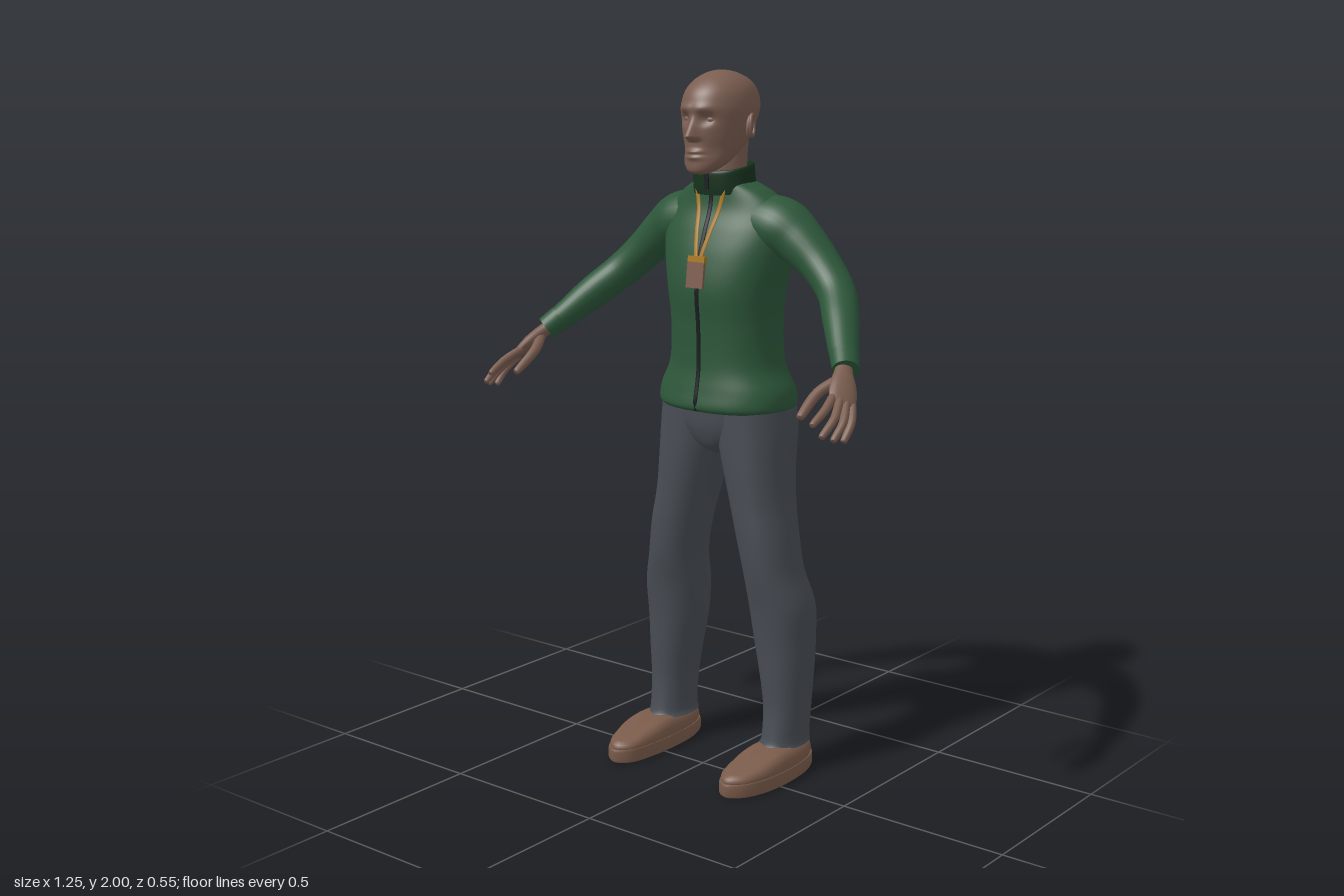
import * as THREE from 'three';

const mat = (name, color, side = THREE.FrontSide) => {
  const m = new THREE.MeshStandardMaterial({ color, side });
  m.name = name;
  return m;
};

// Catmull-Rom sample of every column of a table of rows, t in 0..1
function sample(rows, t) {
  const n = rows.length - 1, i = Math.min(Math.floor(t * n), n - 1), f = t * n - i;
  const p = k => rows[Math.max(0, Math.min(n, k))];
  return rows[0].map((_, c) => {
    const [a, b, d, e] = [p(i - 1)[c], p(i)[c], p(i + 1)[c], p(i + 2)[c]];
    return b + 0.5 * f * (d - a + f * (2 * a - 5 * b + 4 * d - e + f * (3 * (b - d) + e - a)));
  });
}

// Skin a list of closed rings, with optional flat end caps
function skin(rings, caps = true) {
  const n = rings[0].length, pos = rings.flat().flatMap(v => [v.x, v.y, v.z]), idx = [];
  for (let i = 0; i < rings.length - 1; i++) for (let j = 0; j < n; j++) {
    const a = i * n + j, b = i * n + (j + 1) % n;
    idx.push(a, a + n, b, b, a + n, b + n);
  }
  if (caps) [rings[0], rings[rings.length - 1]].forEach((ring, end) => {
    const base = pos.length / 3, c = new THREE.Vector3();
    ring.forEach(v => { pos.push(v.x, v.y, v.z); c.addScaledVector(v, 1 / n); });
    pos.push(c.x, c.y, c.z);
    for (let j = 0; j < n; j++) {
      const a = base + j, b = base + (j + 1) % n;
      idx.push(base + n, end ? b : a, end ? a : b);
    }
  });
  const g = new THREE.BufferGeometry();
  g.setAttribute('position', new THREE.Float32BufferAttribute(pos, 3));
  g.setIndex(idx);
  g.computeVertexNormals();
  return g;
}

const power = (v, e) => Math.sign(v) * Math.abs(v) ** e;

// Upright body from rows of [y, xMin, xMax, zFront, zBack]
function upright(rows, { n = 2.2, seg = 40, steps = 40, warp = null, caps = true } = {}) {
  const rings = [];
  for (let i = 0; i <= steps; i++) {
    const [y, x0, x1, zf, zb] = sample(rows, i / steps), ring = [];
    for (let j = 0; j < seg; j++) {
      const a = j / seg * Math.PI * 2;
      const v = new THREE.Vector3((x0 + x1) / 2 + (x1 - x0) / 2 * power(Math.cos(a), 2 / n), y,
        (zf + zb) / 2 + (zf - zb) / 2 * power(Math.sin(a), 2 / n));
      if (warp) warp(v);
      ring.push(v);
    }
    rings.push(ring);
  }
  return skin(rings, caps);
}

// Limb along rows of [x, y, z, radius across, radius through]
function limb(rows, { across = [0, 0, 1], seg = 20, steps = 24 } = {}) {
  const rings = [], at = t => new THREE.Vector3(...sample(rows, t).slice(0, 3));
  for (let i = 0; i <= steps; i++) {
    const t = i / steps, c = at(t), [, , , ru, rv] = sample(rows, t), ring = [];
    const T = at(Math.min(1, t + 0.01)).sub(at(Math.max(0, t - 0.01))).normalize();
    const u = new THREE.Vector3(...across);
    u.addScaledVector(T, -u.dot(T)).normalize();
    const v = u.clone().cross(T);
    for (let j = 0; j < seg; j++) {
      const a = j / seg * Math.PI * 2;
      ring.push(c.clone().addScaledVector(u, ru * Math.cos(a)).addScaledVector(v, rv * Math.sin(a)));
    }
    rings.push(ring);
  }
  return skin(rings);
}

function mirrored(geo) {
  const g = geo.clone().scale(-1, 1, 1), k = g.index.array;
  for (let i = 0; i < k.length; i += 3) [k[i], k[i + 1]] = [k[i + 1], k[i]];
  return g;
}

const sym = rows => rows.map(([y, w, f, b]) => [y, -w, w, f, b]);
const bump = (d, s) => Math.exp(-d * d / (s * s));

export function createModel() {
  const model = new THREE.Group();
  model.name = 'standingMan';
  const skinMat = mat('skin brown', 0x7a5d50), green = mat('jacket green', 0x2d573a);
  const darkGreen = mat('collar green', 0x18331f, THREE.DoubleSide), grey = mat('trouser grey', 0x484d54);
  const shoeMat = mat('shoe brown', 0x7a5b4a), black = mat('zip black', 0x191e20);
  const gold = mat('strap gold', 0xa8761a), badgeMat = mat('badge brown', 0x7c5c4c);
  const add = (name, geo, m) => {
    const mesh = new THREE.Mesh(geo, m);
    mesh.name = name;
    model.add(mesh);
    return mesh;
  };
  const pair = (name, geo, m) => {
    add(name + 'Left', geo, m);
    add(name + 'Right', mirrored(geo), m);
  };

  // Jacket body
  const torso = sym([[1.06, .195, .03, -.262], [1.075, .207, .038, -.272], [1.12, .202, .03, -.264],
    [1.19, .17, .02, -.246], [1.3, .164, .022, -.244], [1.4, .174, .03, -.249], [1.49, .195, .016, -.257],
    [1.56, .205, -.006, -.25], [1.62, .19, -.03, -.228], [1.665, .145, -.036, -.2], [1.69, .1, -.034, -.18],
    [1.7, .075, -.035, -.165]]);
  add('jacketBody', upright(torso, { n: 2.3, seg: 56, steps: 60 }), green);
  const chest = (x, y) => {
    let lo = 0, hi = 1;
    for (let i = 0; i < 24; i++) {
      const m = (lo + hi) / 2;
      if (sample(torso, m)[0] < y) lo = m; else hi = m;
    }
    const [, , w, f, b] = sample(torso, lo);
    return (f + b) / 2 + (f - b) / 2 * (1 - Math.min(1, Math.abs(x / w)) ** 2.3) ** (1 / 2.3);
  };

  // Sleeves with a slightly raised cuff
  pair('sleeve', limb([[.08, 1.59, -.13, .085, .075], [.17, 1.575, -.132, .092, .082], [.235, 1.54, -.132, .075, .069],
    [.31, 1.48, -.126, .062, .056], [.38, 1.415, -.1, .056, .051], [.44, 1.35, -.035, .051, .047],
    [.49, 1.29, .025, .043, .039], [.528, 1.25, .068, .036, .032]], { seg: 28, steps: 44 }), green);
  pair('cuff', limb([[.503, 1.277, .04, .041, .037], [.53, 1.247, .071, .038, .034]], { seg: 28, steps: 4 }), green);

  // Zip and collar
  const zipRows = [];
  for (let y = 1.063; y < 1.7; y += .03) zipRows.push([0, y, chest(0, y), .007, .004]);
  add('zip', limb(zipRows, { across: [1, 0, 0], seg: 8, steps: 50 }), black);
  const tilt = v => { v.y += (-.1 - v.z) * .18; };
  add('collar', upright(sym([[1.675, .09, -.022, -.178], [1.7, .088, -.018, -.174], [1.735, .086, -.016, -.17],
    [1.742, .081, -.021, -.165], [1.735, .077, -.025, -.16], [1.69, .075, -.03, -.157]]),
  { caps: false, warp: tilt }), darkGreen);
  add('collarZip', new THREE.BoxGeometry(.014, .05, .008).translate(0, 1.703, -.018), black);

  // Neck strap and badge
  const strap = [];
  for (let i = 0; i <= 10; i++) {
    const x = .05 - .042 * i / 10, y = 1.695 - .205 * i / 10;
    strap.push([x, y, chest(x, y) + .006, .007, .003]);
  }
  pair('neckStrap', limb(strap, { across: [1, 0, 0], seg: 8 }), gold);
  const badge = add('badge', new THREE.BoxGeometry(.058, .072, .008), badgeMat);
  badge.position.set(0, 1.445, chest(0, 1.445) + .008);
  const clip = add('badgeClip', new THREE.BoxGeometry(.058, .02, .012), gold);
  clip.position.set(0, 1.487, chest(0, 1.487) + .009);
  badge.rotation.x = clip.rotation.x = -.12;

  // Head, with sockets, brow, nose, lips and chin pushed out of the surface
  const face = v => {
    if (v.z < -.04) return;
    const x = Math.abs(v.x), y = v.y;
    v.z -= .015 * bump(x - .036, .02) * bump(y - 1.872, .016);
    v.z += .006 * bump(x - .03, .03) * bump(y - 1.9, .012);
    const k = (1.885 - y) / .062;
    const nose = k < 0 ? 0 : k < 1 ? k ** 1.2 : Math.max(0, 1 - (k - 1) * 4.5);
    v.z += .036 * nose * bump(x, .011 + .006 * Math.min(1, Math.max(0, k)));
    v.z += .008 * bump(x, .026) * (bump(y - 1.783, .007) + bump(y - 1.768, .007));
    v.z -= .004 * bump(x, .03) * bump(y - 1.7755, .003);
    v.z -= .005 * bump(x - .055, .02) * bump(y - 1.79, .025);
  };
  add('head', upright(sym([[1.722, .018, .03, -.005], [1.73, .038, .043, -.03], [1.75, .058, .046, -.075],
    [1.785, .074, .043, -.135], [1.82, .084, .043, -.166], [1.86, .092, .045, -.19], [1.9, .097, .046, -.204],
    [1.94, .09, .034, -.198], [1.97, .072, .006, -.174], [1.99, .044, -.03, -.136], [1.998, .02, -.058, -.105],
    [2, .002, -.08, -.084]]), { n: 2.05, seg: 110, steps: 110, warp: face }), skinMat);
  add('neck', upright(sym([[1.66, .074, -.035, -.155], [1.74, .068, -.03, -.153], [1.83, .07, -.04, -.16]]),
    { n: 2, steps: 8 }), skinMat);
  pair('eyelid', new THREE.SphereGeometry(.013, 16, 10).scale(1.2, .75, .7).translate(.036, 1.87, .016), skinMat);
  const ear = new THREE.SphereGeometry(1, 16, 12).scale(.009, .034, .021).rotateY(.35).rotateX(-.15);
  pair('ear', ear.translate(.093, 1.85, -.088), skinMat);
  pair('earRim', new THREE.TorusGeometry(.022, .005, 8, 20).scale(.8, 1.3, 1).rotateY(Math.PI / 2 + .35)
    .translate(.1, 1.852, -.09), skinMat);

  // Hands
  const fan = [.55, -.35, -.6];
  pair('palm', limb([[.508, 1.268, .045, .026, .021], [.528, 1.245, .078, .025, .019], [.55, 1.215, .112, .037, .019],
    [.568, 1.187, .14, .039, .015], [.576, 1.172, .154, .033, .01]], { across: fan }), skinMat);
  const fingers = {
    indexFinger: [[.55, 1.196, .155], [.565, 1.168, .215], [.565, 1.14, .268]],
    middleFinger: [[.568, 1.184, .155], [.59, 1.148, .21], [.59, 1.112, .262]],
    ringFinger: [[.58, 1.175, .143], [.604, 1.137, .19], [.606, 1.1, .234]],
    littleFinger: [[.588, 1.168, .126], [.61, 1.13, .163], [.612, 1.092, .197]],
    thumb: [[.53, 1.228, .095], [.5, 1.195, .155], [.5, 1.147, .228]],
  };
  for (const [name, [a, b, c]] of Object.entries(fingers)) {
    const r = name === 'thumb' ? .0145 : .0115;
    const tip = c.map((v, i) => v + (c[i] - b[i]) * .06);
    pair(name, limb([[...a, r, r], [...b, r, r], [...c, r * .8, r * .75], [...tip, .002, .002]],
      { across: fan, seg: 12, steps: 18 }), skinMat);
  }

  // Trousers
  add('trouserSeat', upright(sym([[.925, .015, -.06, -.16], [.95, .07, -.02, -.205], [1, .16, .002, -.238],
    [1.05, .195, .008, -.25], [1.085, .195, .008, -.245]])), grey);
  pair('trouserLeg', upright([[.085, .145, .27, -.03, -.208], [.11, .152, .266, -.04, -.206], [.2, .148, .27, -.05, -.211],
    [.3, .132, .276, -.046, -.22], [.4, .112, .28, -.04, -.226], [.5, .1, .281, -.028, -.222],
    [.6, .095, .252, -.01, -.202], [.7, .075, .236, -.002, -.2], [.8, .05, .217, 0, -.213], [.9, .022, .21, .002, -.226],
    [1, -.005, .208, .002, -.246], [1.085, -.005, .198, .002, -.245]], { steps: 60 }), grey);

  // Shoes: one outline for both the sole and the domed upper
  const outline = new THREE.CatmullRomCurve3([[.285, -.02], [.272, .08], [.245, .14], [.205, .165], [.165, .135],
    [.148, .06], [.143, -.04], [.155, -.16], [.185, -.22], [.228, -.222], [.268, -.165]]
    .map(([x, z]) => new THREE.Vector3(x, 0, z)), true).getPoints(48).slice(0, 48);
  const layer = (s, height) => outline.map(p => {
    const x = .21 + (p.x - .21) * s, z = -.04 + (p.z + .04) * s;
    return new THREE.Vector3(x, height(z), z);
  });
  pair('shoeSole', skin([[.97, 0], [1, .006], [1, .034], [.985, .04]].map(([s, y]) => layer(s, () => y))), shoeMat);
  const instep = z => .032 + .024 * THREE.MathUtils.smoothstep(-z, -.13, .04);
  pair('shoeUpper', skin([[.95, 0], [.97, .2], [.95, .5], [.87, .78], [.7, .94], [.4, 1]]
    .map(([s, k]) => layer(s, z => .037 + k * instep(z)))), shoeMat);

  return model;
}
